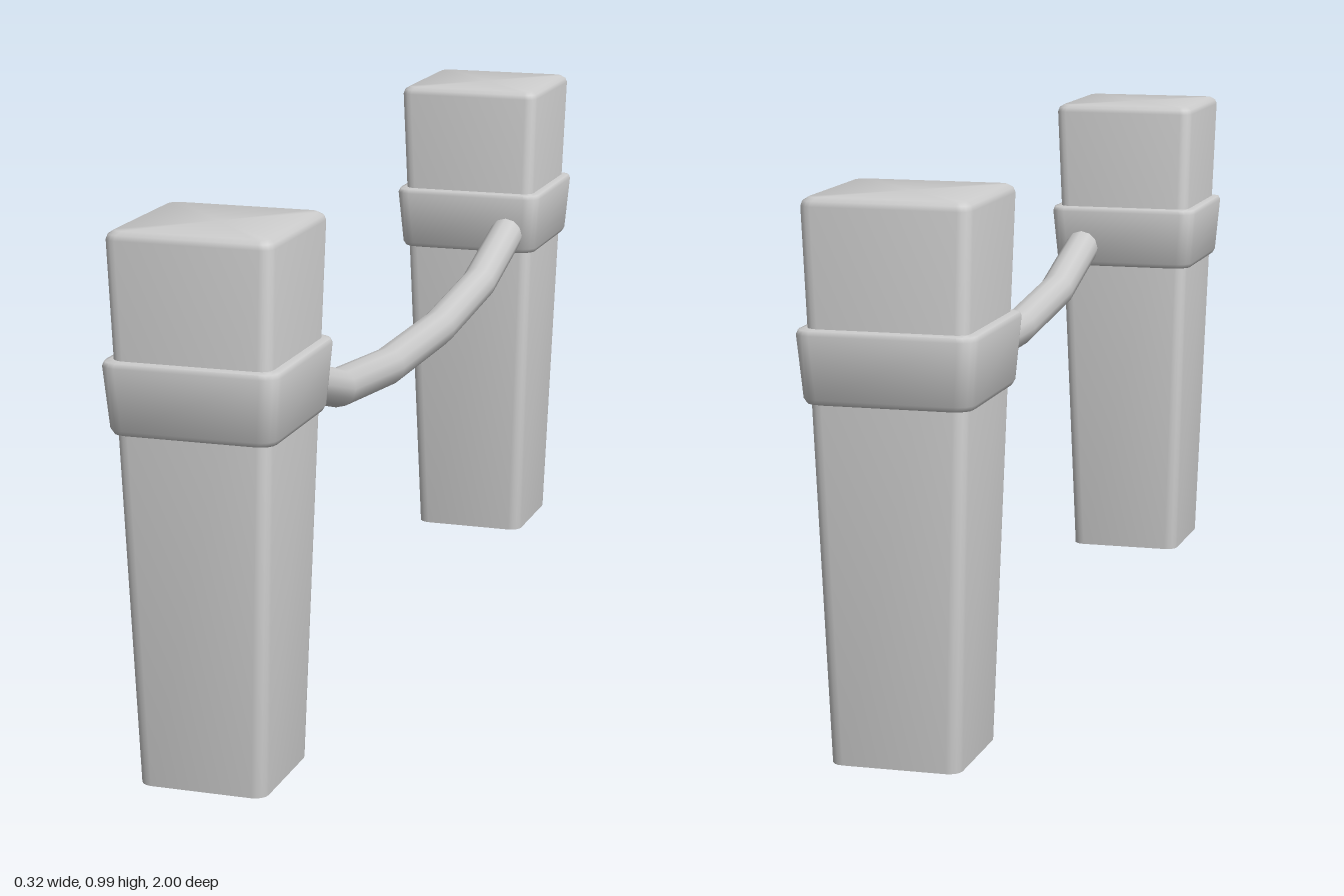
import * as THREE from 'three';
import { toCreasedNormals } from 'three/addons/utils/BufferGeometryUtils.js';

const material = new THREE.MeshStandardMaterial({ color: 0xcccccc });
const CORNER_STEPS = 4;

// Outline of a rounded square at height y, counter-clockwise seen from above
function roundedSquare(half, radius, y) {
  const ring = [];
  for (let corner = 0; corner < 4; corner++) {
    const mid = Math.PI / 4 + corner * Math.PI / 2;
    const cx = Math.sign(Math.cos(mid)) * (half - radius);
    const cz = Math.sign(Math.sin(mid)) * (half - radius);
    for (let i = 0; i <= CORNER_STEPS; i++) {
      const a = corner * Math.PI / 2 + (i / CORNER_STEPS) * Math.PI / 2;
      ring.push([cx + radius * Math.cos(a), y, -(cz + radius * Math.sin(a))]);
    }
  }
  return ring;
}

// Closed solid through sections of [half width, corner radius, height]
function loft(sections) {
  const n = 4 * (CORNER_STEPS + 1);
  const positions = sections.flatMap((s) => roundedSquare(...s).flat());
  const index = [];
  for (let r = 0; r < sections.length - 1; r++) {
    for (let i = 0; i < n; i++) {
      const a = r * n + i, b = r * n + (i + 1) % n;
      index.push(a, b, b + n, a, b + n, a + n);
    }
  }
  // End caps
  const top = (sections.length - 1) * n;
  const bottomCentre = positions.length / 3, topCentre = bottomCentre + 1;
  positions.push(0, sections[0][2], 0, 0, sections.at(-1)[2], 0);
  for (let i = 0; i < n; i++) {
    const j = (i + 1) % n;
    index.push(bottomCentre, j, i, topCentre, top + i, top + j);
  }
  const geometry = new THREE.BufferGeometry();
  geometry.setAttribute('position', new THREE.Float32BufferAttribute(positions, 3));
  geometry.setIndex(index);
  return toCreasedNormals(geometry, 1.0);
}

function addMesh(parent, name, geometry) {
  const mesh = new THREE.Mesh(geometry, material);
  mesh.name = name;
  parent.add(mesh);
}

export function createModel() {
  const model = new THREE.Group();
  model.name = 'ropeBarrier';

  // Tapered post with softened top, and the flared collar around it
  const postGeometry = loft([
    [0.117, 0.024, 0], [0.15, 0.022, 0.975], [0.147, 0.021, 0.984], [0.138, 0.018, 0.99],
  ]);
  const collarGeometry = loft([
    [0.138, 0.026, 0.637], [0.146, 0.028, 0.639], [0.151, 0.03, 0.648],
    [0.16, 0.03, 0.758], [0.157, 0.029, 0.766], [0.148, 0.025, 0.768],
  ]);
  for (const side of [1, -1]) {
    const post = new THREE.Group();
    post.name = side > 0 ? 'frontPost' : 'backPost';
    post.position.z = side * 0.84;
    addMesh(post, 'postBody', postGeometry);
    addMesh(post, 'collar', collarGeometry);
    model.add(post);
  }

  // Sagging rope in five straight lengths, bending exactly at the points
  const path = new THREE.CatmullRomCurve3(
    [[0.703, 0.77], [0.615, 0.47], [0.585, 0.17], [0.585, -0.17], [0.615, -0.47], [0.703, -0.77]]
      .map(([y, z]) => new THREE.Vector3(0.09, y, z)));
  path.getPointAt = path.getPoint;
  path.getTangentAt = path.getTangent;
  addMesh(model, 'rope', new THREE.TubeGeometry(path, 5, 0.036, 12));

  return model;
}
